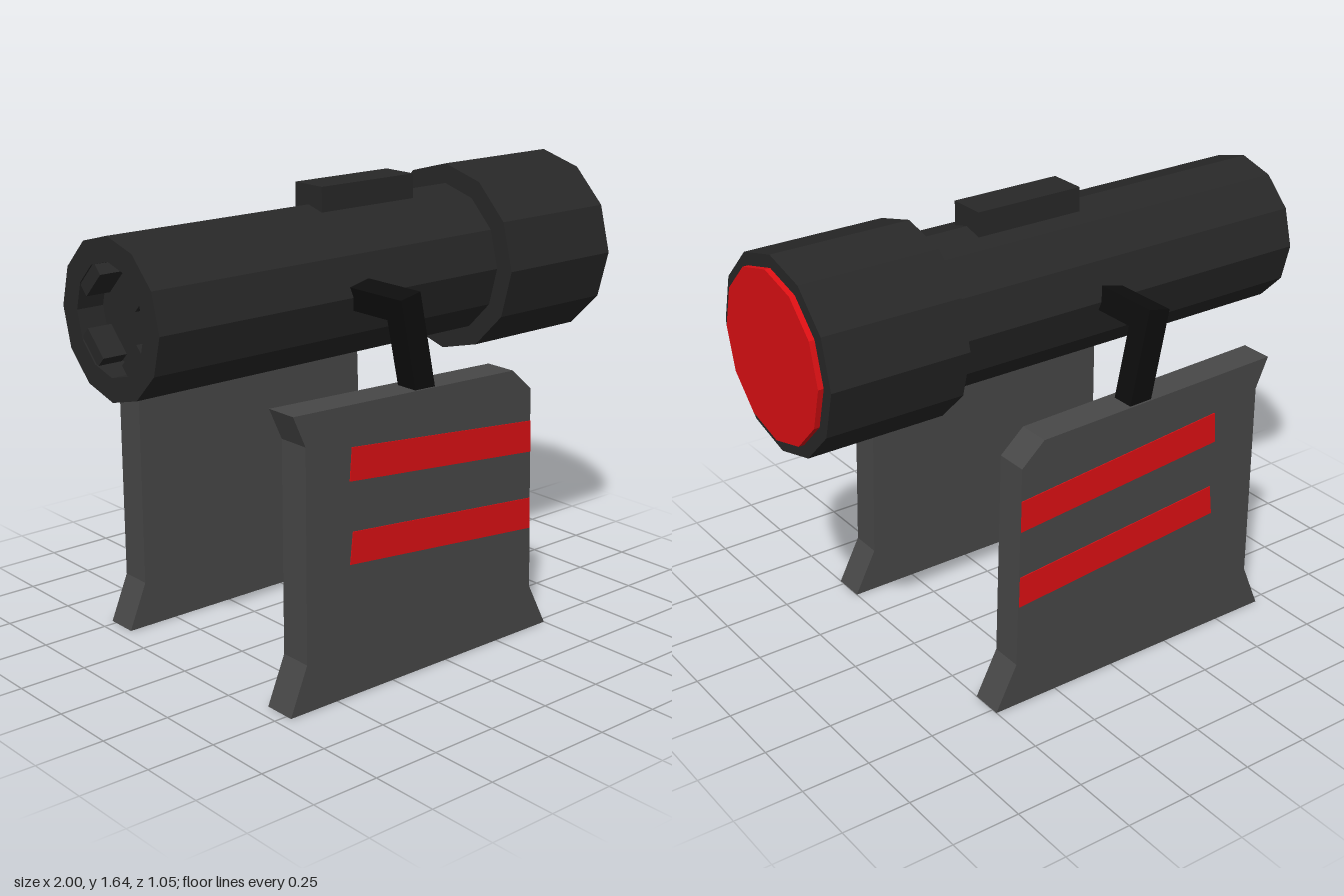
import * as THREE from 'three';

const mat = (color) => new THREE.MeshStandardMaterial({ color, flatShading: true });
const AXIS_Y = 1.293;

export function createModel() {
  const model = new THREE.Group();
  const dark = mat(0x282828), black = mat(0x0d0d0d), grey = mat(0x484848), red = mat(0xe01014);

  const add = (name, geometry, material, parent = model) => {
    const mesh = new THREE.Mesh(geometry, material);
    mesh.name = name;
    parent.add(mesh);
    return mesh;
  };
  const box = (w, h, d, x, y, z) => new THREE.BoxGeometry(w, h, d).translate(x, y, z);
  const slab = (points, depth, z) => new THREE.ExtrudeGeometry(
    new THREE.Shape(points.map(([x, y]) => new THREE.Vector2(x, y))),
    { depth, bevelEnabled: false }).translate(0, 0, z);

  // Twelve-sided barrel with a recessed rear end and a wider head, lying along x
  const profile = [[0, -0.9], [0.19, -0.9], [0.19, -1], [0.273, -1], [0.273, 0.465],
    [0.345, 0.465], [0.345, 0.98], [0, 0.98]].map(([r, x]) => new THREE.Vector2(r, x));
  const barrel = add('barrel', new THREE.LatheGeometry(profile, 12).rotateZ(-Math.PI / 2), dark);
  barrel.position.y = AXIS_Y;

  // Lens disc standing slightly proud of the head
  const lens = add('lens', new THREE.CylinderGeometry(0.3, 0.3, 0.04, 12).rotateZ(-Math.PI / 2), red);
  lens.position.set(0.98, AXIS_Y, 0);

  // Tabs around the rear recess
  for (let i = 0; i < 4; i++) {
    const tab = add('rearTab', box(0.09, 0.06, 0.12, -0.95, 0.165, 0), dark);
    tab.position.y = AXIS_Y;
    tab.rotation.x = Math.PI / 4 + i * Math.PI / 2;
  }

  // Switch block on top
  add('topSwitch', box(0.42, 0.11, 0.14, 0.03, 1.58, 0), dark);

  // Side panel with stripes on its outer face, and a leaning bracket to the barrel
  const panelOutline = [[-0.7, 0], [0.5, 0], [0.415, 0.165], [0.39, 0.92],
    [0.3, 1], [-0.68, 1.03], [-0.63, 0.92], [-0.63, 0.17]];
  const stripes = [
    [[-0.447, 0.765], [0.396, 0.685], [0.392, 0.8], [-0.438, 0.88]],
    [[-0.445, 0.475], [0.404, 0.395], [0.4, 0.51], [-0.433, 0.588]],
  ];
  for (const side of [1, -1]) {
    const support = new THREE.Group();
    support.name = side > 0 ? 'frontSupport' : 'backSupport';
    model.add(support);

    const z = (centre, depth) => side * centre - depth / 2;
    add('sidePanel', slab(panelOutline, 0.12, z(0.463, 0.12)), grey, support);
    for (const s of stripes) add('stripe', slab(s, 0.006, z(0.523, 0.006)), red, support);

    const bracket = new THREE.Group();
    bracket.name = 'bracket';
    bracket.position.set(-0.178, 1.337, 0);
    bracket.rotation.z = 0.21;
    add('bracketPost', box(0.087, 0.35, 0.085, 0, -0.175, side * 0.4725), black, bracket);
    add('bracketArm', box(0.087, 0.085, 0.25, 0, -0.0425, side * 0.305), black, bracket);
    support.add(bracket);
  }
  return model;
}
